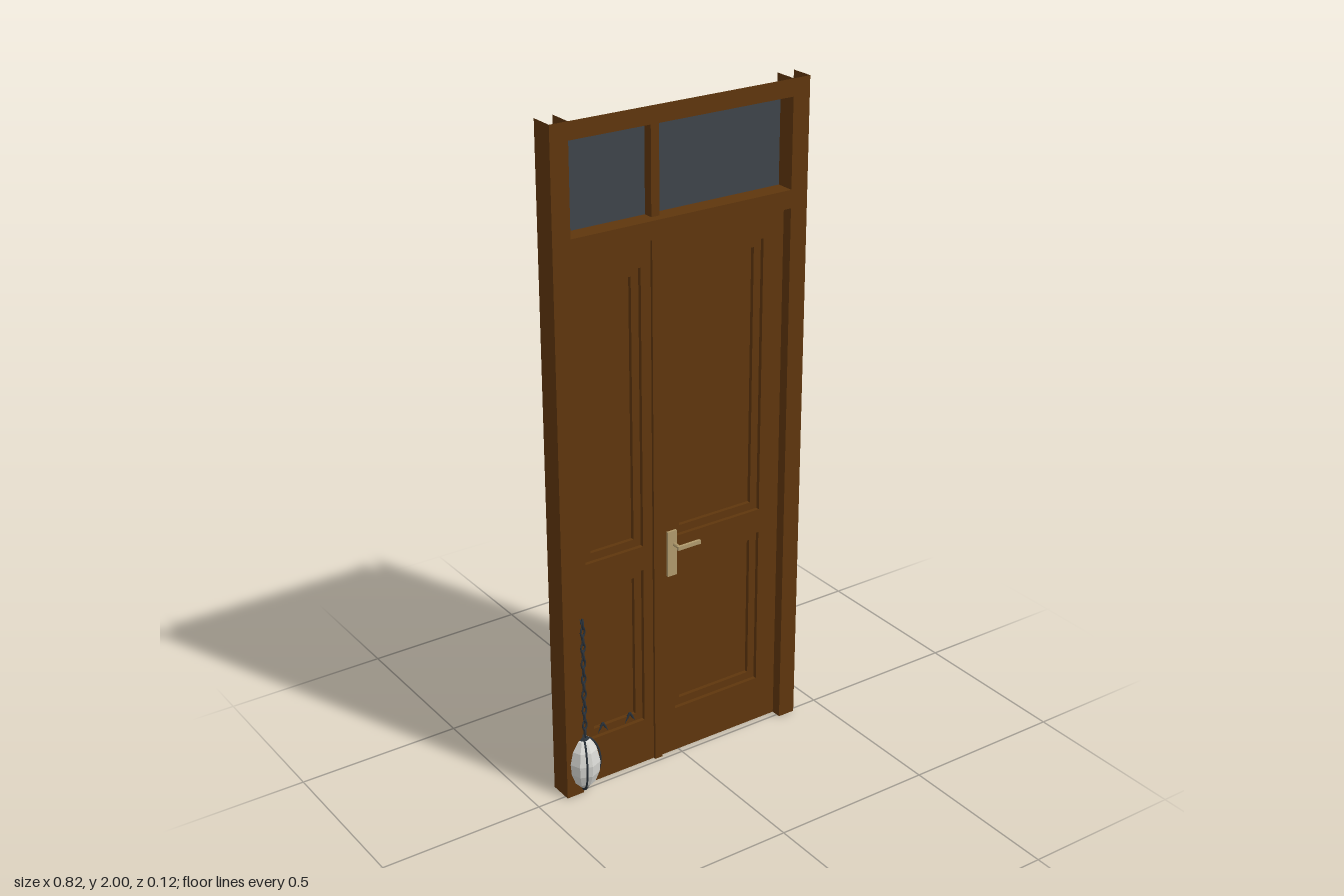
import * as THREE from 'three';

const wood = new THREE.MeshStandardMaterial({ color: 0x5f360d, side: THREE.DoubleSide });
wood.name = 'brown wood';
const glass = new THREE.MeshStandardMaterial({ color: 0x3e444a, side: THREE.DoubleSide });
glass.name = 'dark glass';
const brass = new THREE.MeshStandardMaterial({ color: 0xb09a6c });
brass.name = 'pale brass';
const iron = new THREE.MeshStandardMaterial({ color: 0x2a323a });
iron.name = 'dark iron';
const shade = new THREE.MeshStandardMaterial({ color: 0xd6d6d2, side: THREE.DoubleSide, flatShading: true });
shade.name = 'white lamp glass';

const FRONT = 0.012, BACK = -0.06, GLASS = -0.045;

function add(parent, name, geometry, material) {
  const mesh = new THREE.Mesh(geometry, material);
  mesh.name = name;
  parent.add(mesh);
  return mesh;
}

// Box given by its two corners
function box(parent, name, material, x0, x1, y0, y1, z0, z1) {
  const mesh = add(parent, name, new THREE.BoxGeometry(x1 - x0, y1 - y0, z1 - z0), material);
  mesh.position.set((x0 + x1) / 2, (y0 + y1) / 2, (z0 + z1) / 2);
  return mesh;
}

// Thin sheet facing along z
function sheet(parent, name, material, x0, x1, y0, y1, z) {
  const mesh = add(parent, name, new THREE.PlaneGeometry(x1 - x0, y1 - y0), material);
  mesh.position.set((x0 + x1) / 2, (y0 + y1) / 2, z);
}

// Reveal running from the front to the back, upright or level
function reveal(parent, x0, y0, x1, y1) {
  const mesh = add(parent, 'frameReveal', new THREE.PlaneGeometry(Math.hypot(x1 - x0, y1 - y0), FRONT - BACK), wood);
  mesh.rotation.x = -Math.PI / 2;
  const pivot = new THREE.Group();
  pivot.name = 'frameReveal';
  pivot.rotation.z = Math.atan2(y1 - y0, x1 - x0);
  pivot.position.set((x0 + x1) / 2, (y0 + y1) / 2, (FRONT + BACK) / 2);
  pivot.add(mesh);
  parent.add(pivot);
}

function rect(target, [x0, x1, y0, y1]) {
  target.moveTo(x0, y0);
  target.lineTo(x1, y0);
  target.lineTo(x1, y1);
  target.lineTo(x0, y1);
  target.closePath();
  return target;
}

// Board with rectangular openings
function board(parent, name, outline, holes, z0, z1) {
  const shape = rect(new THREE.Shape(), outline);
  holes.forEach(h => shape.holes.push(rect(new THREE.Path(), h)));
  const geometry = new THREE.ExtrudeGeometry(shape, { depth: z1 - z0, bevelEnabled: false });
  add(parent, name, geometry, wood).position.z = z0;
}

// Straight round bar between two points
function bar(parent, name, a, b, radius, material) {
  const path = new THREE.LineCurve3(new THREE.Vector3(...a), new THREE.Vector3(...b));
  const mesh = add(parent, name, new THREE.CylinderGeometry(radius, radius, path.getLength(), 6), material);
  mesh.position.copy(path.getPoint(0.5));
  mesh.quaternion.setFromUnitVectors(new THREE.Vector3(0, 1, 0), path.getTangent(0));
}

function makeFrame() {
  const frame = new THREE.Group();
  frame.name = 'doorFrame';
  // Posts are channels open at the back
  for (const s of [-1, 1]) {
    sheet(frame, 'postFront', wood, s < 0 ? -0.41 : 0.355, s < 0 ? -0.355 : 0.41, 0, 2, FRONT);
    reveal(frame, s * 0.41, 0, s * 0.41, 2);
    reveal(frame, s * 0.355, 0, s * 0.355, 2);
  }
  // Header and transom
  sheet(frame, 'headerFront', wood, -0.355, 0.355, 1.95, 2, FRONT);
  sheet(frame, 'transomFront', wood, -0.355, 0.355, 1.637, 1.69, FRONT);
  for (const y of [1.637, 1.69, 1.95]) reveal(frame, -0.355, y, 0.355, y);
  // Window above the door
  sheet(frame, 'windowGlass', glass, -0.355, 0.355, 1.69, 1.95, GLASS);
  box(frame, 'windowMullion', wood, -0.088, -0.062, 1.69, 1.95, -0.055, -0.015);
  return frame;
}

function makeDoor() {
  const door = new THREE.Group();
  door.name = 'doubleDoor';
  const rows = [[0.145, 0.645], [0.72, 1.555]];
  const leaves = [
    { edge: [-0.355, -0.085], panel: [-0.312, -0.12] },
    { edge: [-0.062, 0.355], panel: [-0.012, 0.287] },
  ];
  for (const { edge, panel } of leaves) {
    const holes = rows.map(r => [...panel, ...r]);
    board(door, 'doorLeaf', [...edge, 0, 1.637], holes, -0.044, -0.02);
    // Stepped moulding around each recessed panel
    for (const [x0, x1, y0, y1] of holes) {
      const d = 0.024;
      board(door, 'panelMoulding', [x0, x1, y0, y1], [[x0 + d, x1 - d, y0 + d, y1 - d]], -0.044, -0.032);
    }
  }
  sheet(door, 'doorBack', wood, -0.355, 0.355, 0, 1.637, -0.045);
  box(door, 'meetingStrip', wood, -0.088, -0.062, 0, 1.637, -0.044, -0.012);
  return door;
}

function makeHandle() {
  const handle = new THREE.Group();
  handle.name = 'doorHandle';
  box(handle, 'handlePlate', brass, -0.04, -0.009, 0.6, 0.743, -0.021, -0.013);
  bar(handle, 'handleSpindle', [-0.018, 0.7, -0.015], [-0.018, 0.7, 0.018], 0.006, brass);
  box(handle, 'handleLever', brass, -0.026, 0.052, 0.694, 0.706, 0.011, 0.019);
  return handle;
}

function makeLantern() {
  const lantern = new THREE.Group();
  lantern.name = 'hangingLantern';
  lantern.position.set(-0.35, 0, 0.008);
  const profile = [[0.012, 0.018], [0.033, 0.04], [0.046, 0.075], [0.049, 0.11], [0.04, 0.15], [0.022, 0.178], [0.006, 0.186]];
  add(lantern, 'lanternGlass', new THREE.LatheGeometry(profile.map(p => new THREE.Vector2(...p)), 8), shade);
  // Ribs follow the glass
  for (let i = 0; i < 4; i++) {
    const a = 0.35 + i * Math.PI / 2;
    const path = new THREE.CatmullRomCurve3(profile.map(([r, y]) => new THREE.Vector3(r * Math.cos(a), y, r * Math.sin(a))));
    add(lantern, 'lanternRib', new THREE.TubeGeometry(path, 12, 0.003, 5), iron);
  }
  const cap = add(lantern, 'lanternCap', new THREE.CylinderGeometry(0.006, 0.022, 0.014, 8), iron);
  cap.position.y = 0.183;
  const foot = add(lantern, 'lanternFoot', new THREE.CylinderGeometry(0.014, 0.008, 0.012, 8), iron);
  foot.position.y = 0.014;
  // Chain of alternating links
  const count = 15;
  for (let i = 0; i < count; i++) {
    const link = add(lantern, 'chainLink', new THREE.TorusGeometry(0.009, 0.003, 5, 8), iron);
    link.scale.y = 1.6;
    link.position.set(0.004, 0.2 + i * 0.0255, 0.003);
    link.rotation.y = i % 2 ? 0.35 : 1.2;
  }
  return lantern;
}

function makeBracket() {
  const bracket = new THREE.Group();
  bracket.name = 'lanternBracket';
  box(bracket, 'bracketPlate', iron, -0.365, -0.328, 0.45, 0.57, -0.057, -0.05);
  bar(bracket, 'bracketArm', [-0.347, 0.56, -0.053], [-0.347, 0.56, 0.012], 0.005, iron);
  return bracket;
}

function makeGrille() {
  const grille = new THREE.Group();
  grille.name = 'lowGrille';
  const x0 = -0.352, x1 = -0.07, y0 = 0.014, y1 = 0.178, z = -0.053;
  for (const y of [y0, y0 + 0.018, y1 - 0.018, y1]) bar(grille, 'grilleRail', [x0, y, z], [x1, y, z], 0.004, iron);
  for (const x of [x0, x1]) bar(grille, 'grilleEndPost', [x, 0.005, z], [x, y1 + 0.008, z], 0.006, iron);
  // Crossed bars, their upper ends showing through the lower panel
  const bays = 3, w = (x1 - x0) / bays;
  for (let i = 0; i < bays; i++) {
    const a = x0 + i * w;
    bar(grille, 'grilleDiagonal', [a, y0, z], [a + w, y1, -0.032], 0.004, iron);
    bar(grille, 'grilleDiagonal', [a + w, y0, z], [a, y1, -0.032], 0.004, iron);
  }
  return grille;
}

export function createModel() {
  const model = new THREE.Group();
  model.name = 'panelledDoor';
  model.add(makeFrame(), makeDoor(), makeHandle(), makeLantern(), makeBracket(), makeGrille());
  return model;
}
